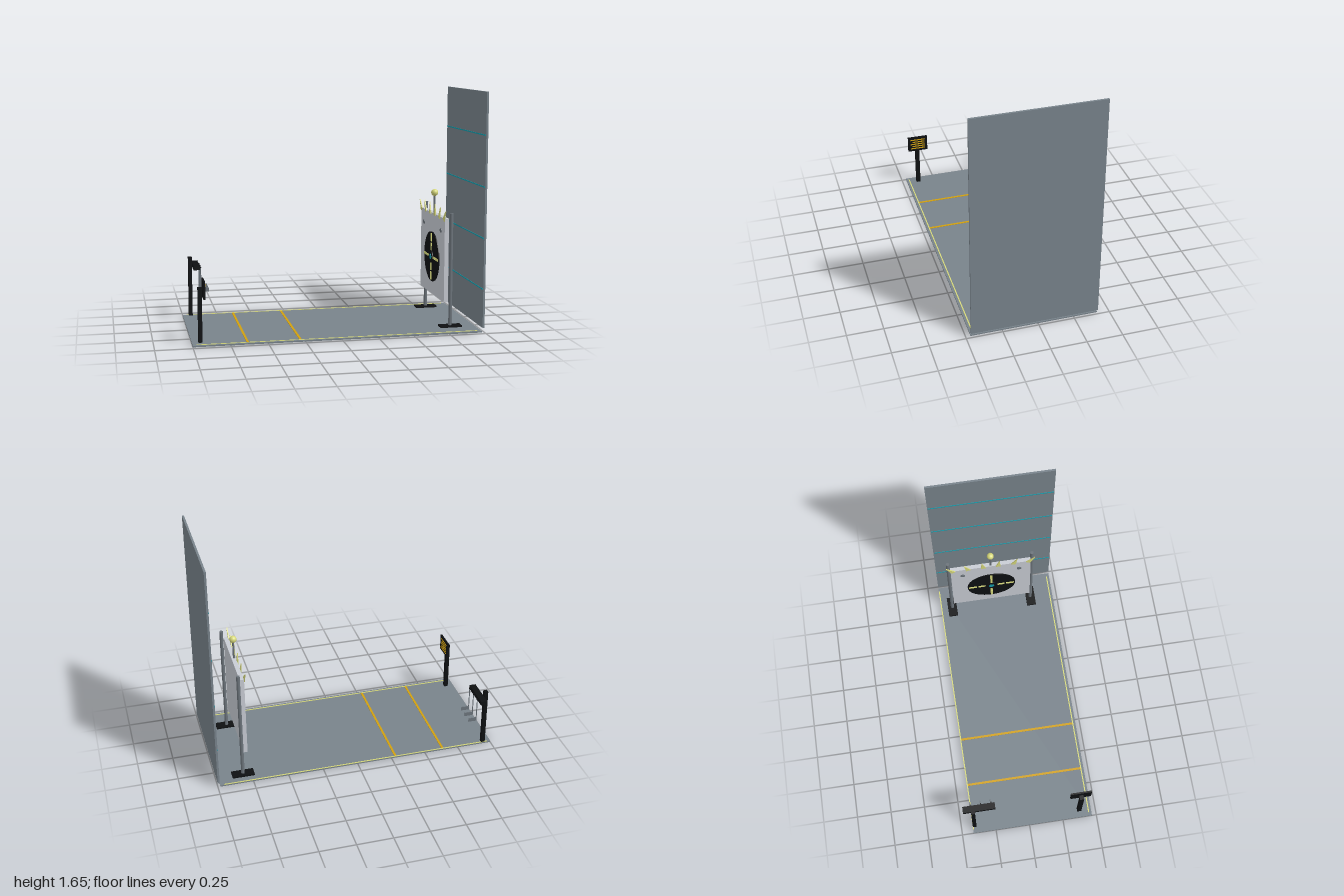
import * as THREE from 'three';

const mat = (name, color) => {
  const m = new THREE.MeshStandardMaterial({ color });
  m.name = name;
  return m;
};

export function createModel() {
  const root = new THREE.Group();
  root.name = 'throwingLane';

  const panel = mat('slateGrey', 0x78838b);
  const black = mat('black', 0x0e1012);
  const steel = mat('steelGrey', 0x6c747b);
  const pale = mat('paleGrey', 0xc8ccd4);
  const amber = mat('amber', 0xd0a010);
  const lime = mat('paleYellow', 0xd6d87c);
  const teal = mat('teal', 0x129cac);

  const add = (parent, name, geo, material, x = 0, y = 0, z = 0) => {
    const m = new THREE.Mesh(geo, material);
    m.name = name;
    m.position.set(x, y, z);
    parent.add(m);
    return m;
  };
  // box given by its low and high corners
  const box = (parent, name, material, [x0, y0, z0], [x1, y1, z1]) =>
    add(parent, name, new THREE.BoxGeometry(x1 - x0, y1 - y0, z1 - z0), material,
      (x0 + x1) / 2, (y0 + y1) / 2, (z0 + z1) / 2);
  // disc whose axis runs along x
  const disc = (parent, name, material, r, x0, x1, y, z, sides = 40) =>
    add(parent, name, new THREE.CylinderGeometry(r, r, x1 - x0, sides).rotateZ(Math.PI / 2),
      material, (x0 + x1) / 2, y, z);
  const group = (name) => {
    const g = new THREE.Group();
    g.name = name;
    root.add(g);
    return g;
  };

  // floor with edge lines and two throw lines
  const Z0 = -0.417, Z1 = 0.467;
  const floor = group('floor');
  box(floor, 'floorSlab', panel, [-1, 0, Z0], [0.982, 0.009, Z1]);
  for (const z of [-0.413, 0.447])
    box(floor, 'edgeLine', lime, [-0.975, 0.008, z - 0.004], [0.955, 0.012, z + 0.004]);
  for (const x of [-0.635, -0.28])
    box(floor, 'throwLine', amber, [x - 0.008, 0.008, -0.409], [x + 0.008, 0.012, 0.443]);

  // back wall with seams on the lane side
  const wall = group('backWall');
  box(wall, 'wallPanel', panel, [0.986, 0.032, Z0], [1, 1.65, Z1]);
  for (let i = 0; i < 4; i++) {
    const y = 0.302 + i * 0.352;
    box(wall, 'wallSeam', teal, [0.983, y - 0.004, Z0 + 0.004], [0.987, y + 0.004, Z1 - 0.004]);
  }

  // target stand
  const target = group('target');
  const ZC = -0.018;
  for (const s of [-1, 1]) {
    const z = ZC + s * 0.31;
    box(target, 'standFoot', black, [0.73, 0.009, z - 0.035], [0.885, 0.02, z + 0.035]);
    add(target, 'standPost', new THREE.CylinderGeometry(0.0125, 0.0125, 0.795, 16), steel, 0.807, 0.4125, z);
  }
  box(target, 'targetBoard', pale, [0.764, 0.18, ZC - 0.295], [0.794, 0.768, ZC + 0.295]);
  for (const s of [-1, 1])
    disc(target, 'boardBolt', steel, 0.016, 0.758, 0.766, 0.675, ZC + s * 0.21, 16);

  // dark bullseye with a broken cross
  const YC = 0.452;
  disc(target, 'bullseyeFace', black, 0.18, 0.757, 0.765, YC, ZC);
  disc(target, 'bullseyeInner', black, 0.045, 0.751, 0.758, YC, ZC, 24);
  disc(target, 'bullseyeCentre', teal, 0.02, 0.748, 0.752, YC, ZC, 20);
  for (let i = 0; i < 4; i++) {
    const arm = new THREE.Group();
    arm.name = 'crossArm';
    arm.position.set(0, YC, ZC);
    arm.rotation.x = i * Math.PI / 2;
    box(arm, 'crossBar', lime, [0.752, 0.045, -0.008], [0.758, 0.1, 0.008]);
    box(arm, 'crossTip', lime, [0.752, 0.11, -0.008], [0.758, 0.17, 0.008]);
    target.add(arm);
  }

  // fan of flat spikes along the board top
  const spike = new THREE.Shape([
    new THREE.Vector2(-0.018, 0), new THREE.Vector2(0.018, 0), new THREE.Vector2(0, 0.085)]);
  const spikeGeo = new THREE.ExtrudeGeometry(spike, { depth: 0.007, bevelEnabled: false }).rotateY(-Math.PI / 2);
  for (let i = 0; i < 6; i++) {
    const t = i / 2.5 - 1;
    const m = add(target, 'crownSpike', spikeGeo, lime, 0.765, 0.757, ZC + t * 0.275);
    m.rotation.x = t * 0.62;
  }

  // beacon above the board
  add(target, 'beaconRod', new THREE.CylinderGeometry(0.007, 0.007, 0.14, 12), steel, 0.776, 0.835, ZC);
  add(target, 'beaconBall', new THREE.SphereGeometry(0.025, 24, 16), lime, 0.776, 0.915, ZC);

  // rack with three hanging throwing tools
  const rack = group('toolRack');
  box(rack, 'rackPost', black, [-0.957, 0.009, -0.416], [-0.93, 0.44, -0.388]);
  box(rack, 'rackBar', black, [-0.93, 0.372, -0.472], [-0.884, 0.4, -0.24]);
  for (const z of [-0.415, -0.34, -0.265]) {
    box(rack, 'toolPeg', black, [-0.886, 0.383, z - 0.004], [-0.874, 0.391, z + 0.004]);
    add(rack, 'toolHandle', new THREE.CylinderGeometry(0.0035, 0.0035, 0.18, 8), steel, -0.878, 0.3, z);
    box(rack, 'toolBlade', steel, [-0.881, 0.21, z - 0.003], [-0.82, 0.237, z + 0.003]);
  }

  // score sign facing the target
  const sign = group('scoreSign');
  box(sign, 'signPost', black, [-0.957, 0.009, 0.364], [-0.93, 0.38, 0.394]);
  box(sign, 'signBracket', black, [-0.932, 0.36, 0.364], [-0.92, 0.38, 0.394]);
  box(sign, 'signPanel', black, [-0.924, 0.31, 0.303], [-0.912, 0.43, 0.453]);
  for (let i = 0; i < 5; i++) {
    const y = 0.333 + i * 0.0185;
    box(sign, 'signBar', amber, [-0.913, y - 0.004, 0.323], [-0.909, y + 0.004, i % 2 ? 0.42 : 0.435]);
  }
  return root;
}
